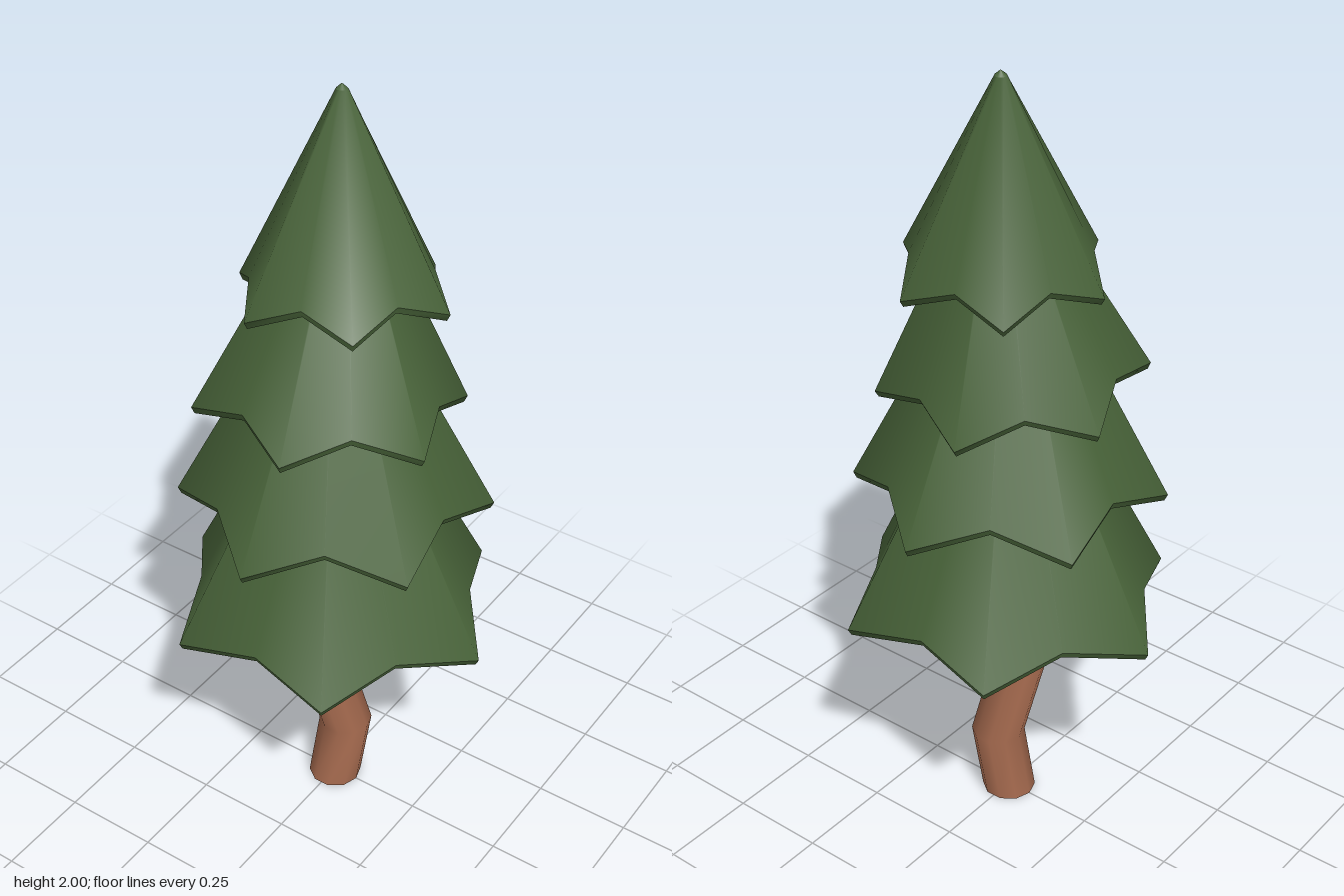
import * as THREE from 'three';

// Skin rings of points; each band list is smooth inside and creased against the next.
function loft(bands) {
  const pos = [], index = [];
  for (const rings of bands) {
    const start = pos.length / 3, n = rings[0].length;
    rings.forEach((ring) => ring.forEach((p) => pos.push(...p)));
    for (let k = 0; k < rings.length - 1; k++) {
      for (let i = 0; i < n; i++) {
        const j = (i + 1) % n, low = start + k * n, up = low + n;
        index.push(low + i, up + i, low + j, up + i, up + j, low + j);
      }
    }
  }
  const geo = new THREE.BufferGeometry();
  geo.setAttribute('position', new THREE.Float32BufferAttribute(pos, 3));
  geo.setIndex(index);
  geo.computeVertexNormals();
  return geo;
}

// Circle of n points
function circle(n, r, y, x = 0, z = 0) {
  return Array.from({ length: n }, (_, i) => {
    const a = (i / n) * Math.PI * 2;
    return [x + r * Math.cos(a), y, z + r * Math.sin(a)];
  });
}

// Six-pointed ring whose valleys are pulled in and lifted
function star(r, y, lift) {
  return Array.from({ length: 12 }, (_, i) => {
    const a = (i / 12) * Math.PI * 2, valley = i % 2;
    const rr = valley ? r * 0.8 : r;
    return [rr * Math.cos(a), y + (valley ? lift : 0), rr * Math.sin(a)];
  });
}

// Hollow cone of needles with a thin rim
function tierGeometry(r, h, lift) {
  const innerRim = star(r - 0.025, 0.004, lift);
  const bottomRim = star(r - 0.008, 0, lift);
  const outerRim = star(r, 0.016, lift);
  return loft([
    [circle(12, 0.001, h - 0.06), innerRim],
    [innerRim, bottomRim],
    [bottomRim, outerRim],
    [outerRim, circle(12, 0.014, h - 0.012)],
    [circle(12, 0.014, h - 0.012), circle(12, 0.0005, h)],
  ]);
}

export function createModel() {
  const tree = new THREE.Group();
  tree.name = 'pineTree';
  const needles = new THREE.MeshStandardMaterial({ color: 0x486339 });
  needles.name = 'needle green';
  const bark = new THREE.MeshStandardMaterial({ color: 0xa86c50 });
  bark.name = 'bark brown';

  // Crooked trunk, continuing up inside the lowest tier
  const bends = [
    [0, 0, 0], [0.02, 0.19, -0.02], [-0.015, 0.39, 0.02],
    [0.003, 0.62, -0.014], [0, 0.9, 0],
  ];
  const rings = bends.map(([x, y, z]) => circle(10, 0.069, y, x, z));
  const trunk = new THREE.Mesh(
    loft([[circle(10, 0.0005, 0), rings[0]], rings, [rings[4], circle(10, 0.0005, 0.9)]]),
    bark,
  );
  trunk.name = 'trunk';
  tree.add(trunk);

  // Tiers from bottom to top: radius, height, valley lift, centre, turn in degrees, slope along x and z
  const tiers = [
    { r: 0.424, h: 0.82, lift: 0.045, at: [0, 0.598, 0], turn: 0, sx: 0, sz: 0 },
    { r: 0.386, h: 0.74, lift: 0.06, at: [0, 0.922, 0], turn: 30, sx: 0, sz: 0 },
    { r: 0.328, h: 0.64, lift: 0.05, at: [0, 1.208, 0.018], turn: 16, sx: 0.01, sz: 0.1 },
    { r: 0.263, h: 0.509, lift: 0.048, at: [0.012, 1.492, -0.012], turn: -9, sx: 0.062, sz: 0.082 },
  ];
  tiers.forEach((t, i) => {
    const geo = tierGeometry(t.r, t.h, t.lift);
    geo.rotateY(-THREE.MathUtils.degToRad(t.turn));
    const mesh = new THREE.Mesh(geo, needles);
    mesh.name = `needleTier${i + 1}`;
    mesh.position.set(...t.at);
    mesh.rotation.set(-t.sz, 0, t.sx);
    tree.add(mesh);
  });
  return tree;
}
